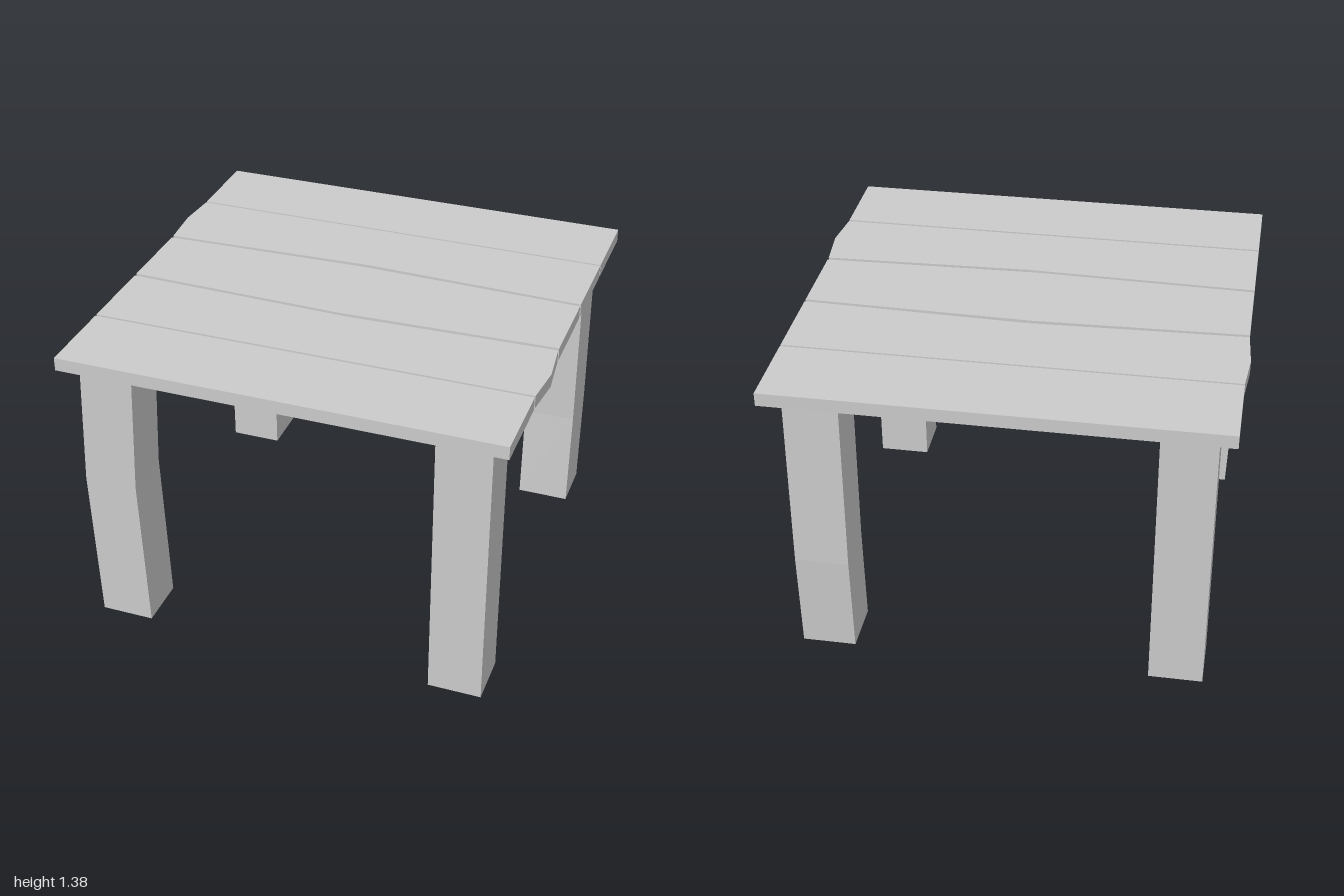
import * as THREE from 'three';

const material = new THREE.MeshStandardMaterial({ color: 0xcccccc, flatShading: true });
const LEG_TOP = 1.315;
const TOP = 1.375;

// Square post; the ring at kinkY is pushed sideways by (dx, dz)
function makeLeg(name, x, z, kinkY = 0, dx = 0, dz = 0) {
  const bent = kinkY > 0;
  const geo = new THREE.BoxGeometry(0.24, LEG_TOP, 0.235, 1, bent ? 2 : 1, 1);
  geo.translate(x, LEG_TOP / 2, z);
  const p = geo.attributes.position;
  for (let i = 0; bent && i < p.count; i++) {
    if (Math.abs(p.getY(i) - LEG_TOP / 2) < 0.01) {
      p.setXYZ(i, p.getX(i) + dx, kinkY, p.getZ(i) + dz);
    }
  }
  geo.computeVertexNormals();
  const mesh = new THREE.Mesh(geo, material);
  mesh.name = name;
  return mesh;
}

// Plank outline as [x, z] points, extruded upward
function makePlank(name, outline) {
  const shape = new THREE.Shape(outline.map(([x, z]) => new THREE.Vector2(x, -z)));
  const geo = new THREE.ExtrudeGeometry(shape, { depth: TOP - LEG_TOP, bevelEnabled: false });
  geo.rotateX(-Math.PI / 2).translate(0, LEG_TOP, 0);
  const mesh = new THREE.Mesh(geo, material);
  mesh.name = name;
  return mesh;
}

export function createModel() {
  const table = new THREE.Group();
  table.name = 'plankTable';

  // Tabletop: five boards, the inner three slightly warped
  const L = -0.985, R = 0.98;
  const boards = {
    backPlank: [[L, -0.978], [R, -0.978], [R, -0.6], [L, -0.6]],
    midBackPlank: [[L, -0.59], [R, -0.59], [R, -0.21], [-0.02, -0.243], [L, -0.21], [-1, -0.41]],
    centerPlank: [[L, -0.193], [-0.05, -0.22], [R, -0.193], [R, 0.187], [0, 0.215], [L, 0.187]],
    midFrontPlank: [[L, 0.205], [0.05, 0.235], [R, 0.205], [1, 0.4], [R, 0.583], [L, 0.583]],
    frontPlank: [[L, 0.595], [R, 0.595], [R, 0.972], [L, 0.972]],
  };
  for (const [name, outline] of Object.entries(boards)) table.add(makePlank(name, outline));

  // Batten under the boards
  const batten = new THREE.Mesh(new THREE.BoxGeometry(0.295, 0.06, 1.56), material);
  batten.name = 'batten';
  batten.position.set(-0.033, LEG_TOP - 0.03, 0);
  table.add(batten);

  // Two straight legs and two bowed ones on opposite corners
  table.add(
    makeLeg('frontLeftLeg', 0.78, 0.783),
    makeLeg('frontRightLeg', -0.79, 0.783, 0.73, -0.024, 0),
    makeLeg('backLeftLeg', 0.78, -0.767, 0.47, 0, -0.018),
    makeLeg('backRightLeg', -0.79, -0.767),
  );
  return table;
}
